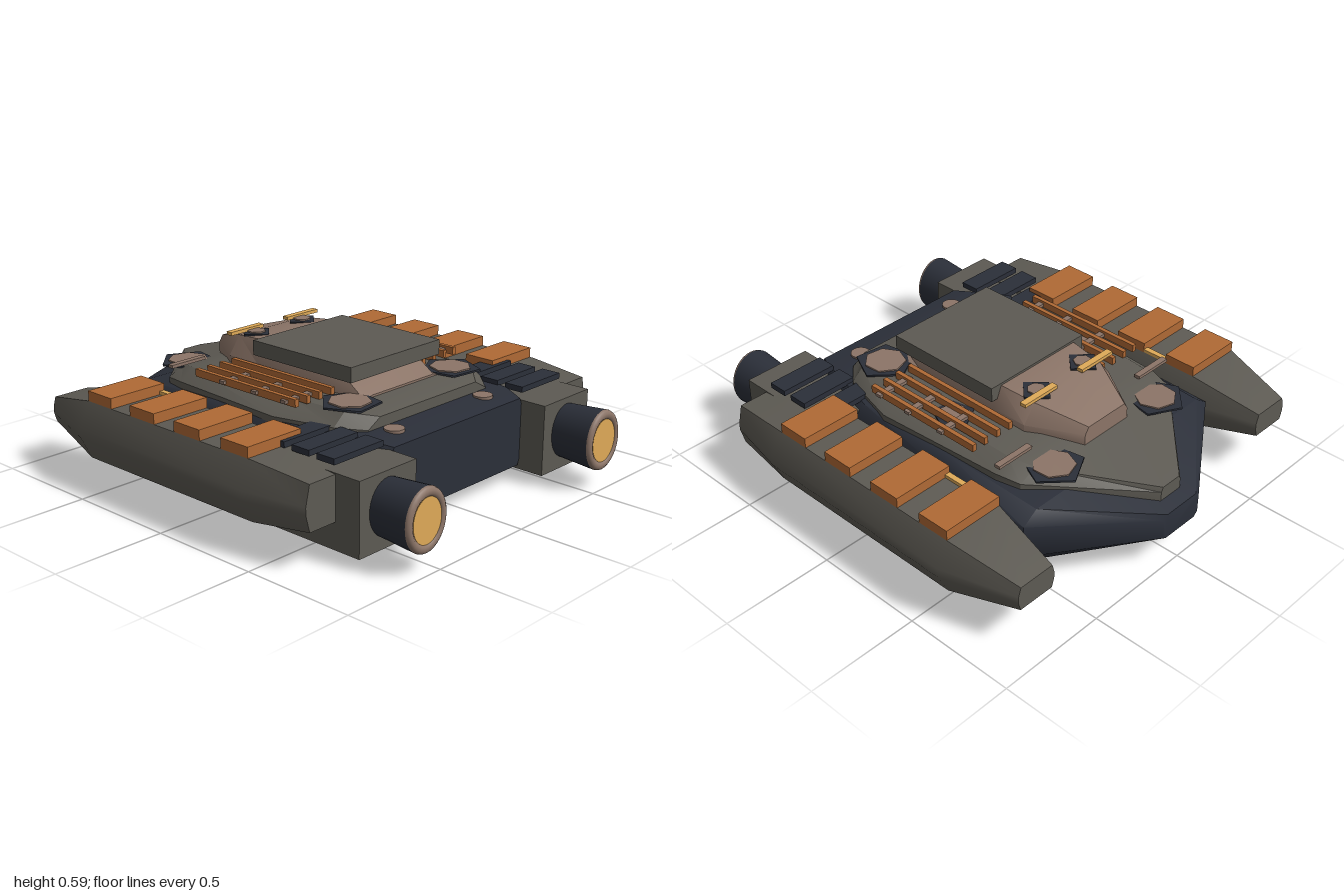
import * as THREE from 'three';
import { toCreasedNormals } from 'three/addons/utils/BufferGeometryUtils.js';

const mat = (color) => new THREE.MeshStandardMaterial({ color });

// Loft of octagonal sections running from +z to -z.
// Section: [z, top half width, middle half width, bottom half width, yBottom, yLow, yHigh, yTop, centre x]
function loft(sections, crease = 0.6) {
  const rings = sections.map(([z, wt, wm, wb, y0, y1, y2, y3, cx = 0]) => [
    [wb, y0], [wm, y1], [wm, y2], [wt, y3], [-wt, y3], [-wm, y2], [-wm, y1], [-wb, y0],
  ].map(([x, y]) => [x + cx, y, z]));
  const pos = [];
  const tri = (...p) => p.forEach((v) => pos.push(...v));
  for (let k = 0; k < rings.length - 1; k++) {
    for (let i = 0; i < 8; i++) {
      const j = (i + 1) % 8;
      const a = rings[k][i], b = rings[k][j], c = rings[k + 1][j], d = rings[k + 1][i];
      tri(a, d, b);
      tri(b, d, c);
    }
  }
  const first = rings[0], last = rings[rings.length - 1];
  for (let i = 1; i < 7; i++) {
    tri(first[0], first[i], first[i + 1]);
    tri(last[0], last[i + 1], last[i]);
  }
  const g = new THREE.BufferGeometry();
  g.setAttribute('position', new THREE.Float32BufferAttribute(pos, 3));
  return toCreasedNormals(g, crease);
}

export function createModel() {
  const model = new THREE.Group();
  const dark = mat(0x2b2f39), grey = mat(0x5d5a53), brown = mat(0x8c7568);
  const orange = mat(0xb06a35), gold = mat(0xdfaa58);

  const add = (name, geometry, material, x = 0, y = 0, z = 0) => {
    const m = new THREE.Mesh(geometry, material);
    m.name = name;
    m.position.set(x, y, z);
    model.add(m);
    return m;
  };
  // Box given by its limits on each axis
  const box = (name, material, x0, x1, y0, y1, z0, z1) =>
    add(name, new THREE.BoxGeometry(x1 - x0, y1 - y0, z1 - z0), material,
      (x0 + x1) / 2, (y0 + y1) / 2, (z0 + z1) / 2);
  // The same box on both sides
  const pair = (name, material, x0, x1, ...rest) => {
    box(name + 'Left', material, x0, x1, ...rest);
    box(name + 'Right', material, -x1, -x0, ...rest);
  };
  const disc = (name, material, r, h, sides, x, y, z, turn = 0) => {
    const m = add(name, new THREE.CylinderGeometry(r, r, h, sides), material, x, y, z);
    m.rotation.y = turn;
    return m;
  };

  // Dark lower hull
  add('hull', loft([
    [0.68, 0.40, 0.42, 0.40, 0.07, 0.12, 0.32, 0.37],
    [0.58, 0.44, 0.49, 0.46, 0.045, 0.10, 0.33, 0.385],
    [0.28, 0.52, 0.57, 0.49, 0.03, 0.12, 0.33, 0.385],
    [-0.20, 0.51, 0.56, 0.48, 0.045, 0.13, 0.33, 0.38],
    [-0.68, 0.50, 0.57, 0.42, 0.065, 0.16, 0.31, 0.36],
    [-1.00, 0.09, 0.11, 0.09, 0.15, 0.17, 0.25, 0.27],
  ], 0.8), dark);

  // Grey upper deck
  add('upperDeck', loft([
    [0.52, 0.30, 0.37, 0.38, 0.34, 0.36, 0.39, 0.43],
    [0.42, 0.40, 0.46, 0.48, 0.34, 0.36, 0.40, 0.45],
    [0.15, 0.42, 0.53, 0.54, 0.34, 0.36, 0.40, 0.455],
    [-0.45, 0.42, 0.49, 0.51, 0.34, 0.36, 0.40, 0.45],
    [-0.56, 0.38, 0.46, 0.47, 0.33, 0.35, 0.39, 0.43],
    [-0.94, 0.05, 0.06, 0.06, 0.28, 0.29, 0.33, 0.35],
  ], 0.5), grey);

  // Cabin and its flat roof block
  add('cabin', loft([
    [0.38, 0.19, 0.24, 0.25, 0.42, 0.44, 0.45, 0.46],
    [0.22, 0.22, 0.26, 0.27, 0.42, 0.45, 0.47, 0.54],
    [-0.22, 0.22, 0.26, 0.27, 0.42, 0.45, 0.48, 0.575],
    [-0.39, 0.20, 0.26, 0.27, 0.41, 0.44, 0.48, 0.56],
    [-0.60, 0.11, 0.13, 0.13, 0.40, 0.43, 0.47, 0.50],
  ], 0.6), brown);
  box('roofBlock', grey, -0.275, 0.275, 0.52, 0.585, -0.225, 0.34);

  // Sensor bars on the cabin brow
  pair('browBar', gold, 0.075, 0.265, 0.572, 0.587, -0.40, -0.37);

  for (const s of [1, -1]) {
    const side = s > 0 ? 'Left' : 'Right';

    // Side pod
    add('pod' + side, loft([
      [0.68, 0.12, 0.14, 0.12, 0.165, 0.24, 0.27, 0.355, s * 0.74],
      [0.40, 0.14, 0.19, 0.14, 0.13, 0.23, 0.27, 0.38, s * 0.74],
      [-0.58, 0.14, 0.19, 0.14, 0.13, 0.23, 0.27, 0.38, s * 0.74],
      [-0.90, 0.085, 0.097, 0.085, 0.20, 0.24, 0.27, 0.31, s * 0.735],
    ], 0.75), grey);

    // Engine nozzle with rim and glowing disc
    const engine = new THREE.Group();
    engine.name = 'engine' + side;
    engine.position.set(s * 0.57, 0.215, 0);
    engine.scale.y = 1.17;
    const nozzle = new THREE.Mesh(new THREE.CylinderGeometry(0.113, 0.100, 0.2, 32), dark);
    nozzle.name = 'nozzle';
    nozzle.rotation.x = Math.PI / 2;
    nozzle.position.z = 0.88;
    nozzle.scale.x = nozzle.scale.z = 1;
    const rim = new THREE.Mesh(new THREE.TorusGeometry(0.095, 0.018, 10, 32), brown);
    rim.name = 'nozzleRim';
    rim.position.z = 0.98;
    const glow = new THREE.Mesh(new THREE.CylinderGeometry(0.08, 0.08, 0.02, 32), gold);
    glow.name = 'nozzleGlow';
    glow.rotation.x = Math.PI / 2;
    glow.position.z = 0.982;
    engine.add(nozzle, rim, glow);
    model.add(engine);

    // Round port on the hull flank
    const port = disc('flankPort' + side, gold, 0.06, 0.08, 24, s * 0.545, 0.155, -0.18);
    port.rotation.z = Math.PI / 2;
    const portRim = add('flankPortRim' + side, new THREE.TorusGeometry(0.062, 0.014, 8, 24), brown,
      s * 0.585, 0.155, -0.18);
    portRim.rotation.y = Math.PI / 2;

    // Angular plates with faceted hubs: [x, y, z, plate radius, hub radius]
    [
      [0.315, 0.425, -0.60, 0.13, 0.09],
      [0.315, 0.457, 0.37, 0.13, 0.09],
      [0.375, 0.452, -0.105, 0.09, 0.06],
      [0.14, 0.568, -0.345, 0.075, 0.04],
    ].forEach(([x, y, z, r, h], i) => {
      disc('plate' + side + i, dark, r, 0.008, i === 3 ? 4 : 5, s * x, y, z, s * (i === 3 ? 0 : 0.5));
      disc('hub' + side + i, brown, h, 0.016, 7, s * x, y + 0.002, z, s * 0.3);
    });

    // Small hatches at the stern and on the belly
    disc('sternHatch' + side, brown, 0.042, 0.02, 20, s * 0.28, 0.383, 0.575);
    disc('bellyHatch' + side, brown, 0.07, 0.03, 20, s * 0.40, 0.045, -0.14);
  }

  // Engine housings
  pair('engineHousing', grey, 0.41, 0.725, 0.05, 0.36, 0.29, 0.80);

  // Armour blocks along the pods
  [-0.58, -0.31, -0.04, 0.23].forEach((z, i) =>
    pair('podBlock' + i, orange, 0.60, 0.88, 0.375, 0.425, z, z + 0.15));

  // Cooling slats over the engines
  [0.31, 0.44, 0.57].forEach((z, i) =>
    pair('slat' + i, dark, 0.44, 0.71, 0.38, 0.405, z, z + 0.09));

  // Marker lights on the pods
  pair('marker', gold, 0.60, 0.625, 0.375, 0.395, -0.43, -0.31);

  // Deck rails and their cross bars
  [0.275, 0.345, 0.415, 0.48].forEach((x, i) =>
    pair('rail' + i, orange, x, x + 0.02, 0.452, 0.485, -0.34, 0.25));
  [-0.485, -0.165, 0.025, 0.195].forEach((z, i) =>
    pair('crossBar' + i, brown, 0.33, 0.515, 0.46, 0.474, z - 0.014, z + 0.014));

  // Belly skid
  box('bellySkid', brown, -0.38, 0.38, 0, 0.05, 0.03, 0.13);

  return model;
}
